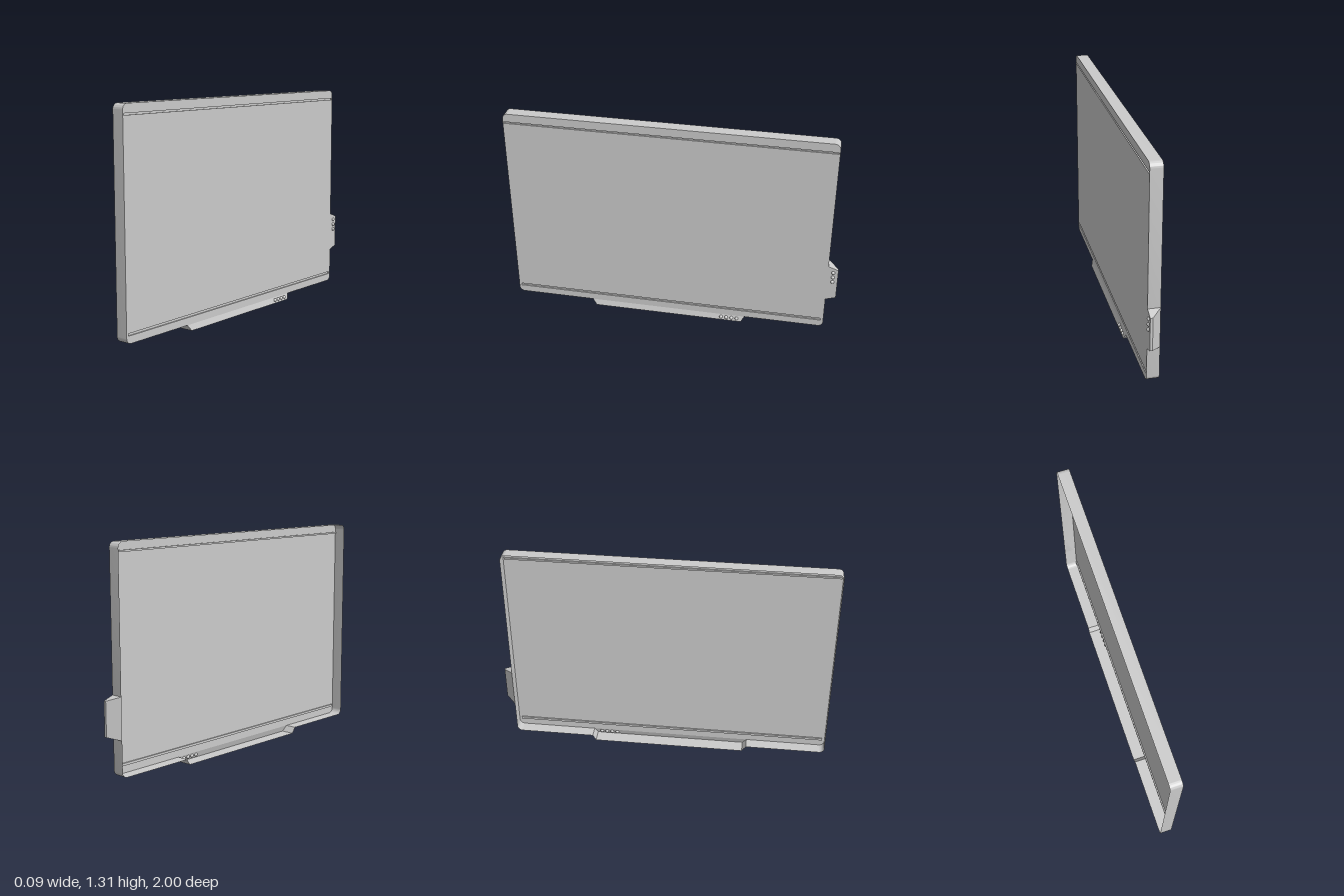
import * as THREE from 'three';
import { toCreasedNormals } from 'three/addons/utils/BufferGeometryUtils.js';
import { ConvexGeometry } from 'three/addons/geometries/ConvexGeometry.js';

const mat = new THREE.MeshStandardMaterial({ color: 0xcccccc, side: THREE.DoubleSide });

// The panel is drawn upright in x (width), y (height), z (depth), then turned to face +x.
const L = -1, R = 0.94, B = 0.035, T = 1.31, RAD = 0.032;
const FRONT = 0.027, BACK = -0.045, LIP_FRONT = 0.038;
const LIP = [[-0.515, B], [-0.49, 0], [0.435, 0], [0.455, B]];
const GROOVES = [
  { y: 1.254, h: 0.01, x0: -0.995, x1: 0.933 },
  { y: 0.086, h: 0.014, x0: -0.985, x1: 0.925 },
];
const GROOVE_DEPTH = 0.008;

function panelOutline(withLip) {
  const s = new THREE.Shape();
  s.moveTo(L + RAD, B);
  if (withLip) LIP.forEach(([x, y]) => s.lineTo(x, y));
  s.lineTo(R - RAD, B);
  s.absarc(R - RAD, B + RAD, RAD, -Math.PI / 2, 0);
  s.absarc(R - RAD, T - RAD, RAD, 0, Math.PI / 2);
  s.absarc(L + RAD, T - RAD, RAD, Math.PI / 2, Math.PI);
  s.absarc(L + RAD, B + RAD, RAD, Math.PI, Math.PI * 1.5);
  return s;
}

// Thin wall running round the outline; it reaches further forward along the lip
function wallGeometry() {
  const pts = panelOutline(true).getPoints(8);
  const pos = [], index = [];
  pts.forEach((p, i) => {
    pos.push(p.x, p.y, BACK, p.x, p.y, p.y < 0.02 ? LIP_FRONT : FRONT);
    const a = 2 * i, b = 2 * ((i + 1) % pts.length);
    index.push(a, b, b + 1, a, b + 1, a + 1);
  });
  const g = new THREE.BufferGeometry();
  g.setAttribute('position', new THREE.Float32BufferAttribute(pos, 3));
  g.setIndex(index);
  return toCreasedNormals(g, 0.5);
}

// Sloping front of the lip
function lipGeometry() {
  const g = new THREE.BufferGeometry();
  const pos = LIP.flatMap(([x, y]) => [x, y, y === 0 ? LIP_FRONT : FRONT]);
  g.setAttribute('position', new THREE.Float32BufferAttribute(pos, 3));
  g.setIndex([0, 1, 2, 0, 2, 3]);
  g.computeVertexNormals();
  return g;
}

export function createModel() {
  const model = new THREE.Group();
  const panel = new THREE.Group();
  panel.name = 'panel';
  panel.rotation.y = Math.PI / 2;
  model.add(panel);

  const add = (name, geometry, x = 0, y = 0, z = 0) => {
    const m = new THREE.Mesh(geometry, mat);
    m.name = name;
    m.position.set(x, y, z);
    panel.add(m);
    return m;
  };

  // Front sheet with slots for the two grooves
  const face = panelOutline(false);
  for (const { y, h, x0, x1 } of GROOVES) {
    const hole = new THREE.Path();
    hole.moveTo(x0, y - h / 2).lineTo(x0, y + h / 2).lineTo(x1, y + h / 2).lineTo(x1, y - h / 2);
    hole.closePath();
    face.holes.push(hole);
    // Channel behind the slot: a box without its front side
    const channel = new THREE.BoxGeometry(x1 - x0, h, GROOVE_DEPTH);
    const idx = Array.from(channel.index.array);
    idx.splice(24, 6);
    channel.setIndex(idx);
    channel.clearGroups();
    add('groove', channel, (x0 + x1) / 2, y, FRONT - GROOVE_DEPTH / 2);
  }
  add('frontSheet', new THREE.ShapeGeometry(face, 8), 0, 0, FRONT);
  add('rimWall', wallGeometry());
  add('bottomLip', lipGeometry());

  // Side tab, its back sloping out from the rim
  const tab = [];
  for (const [yIn, yOut] of [[0.245, 0.265], [0.487, 0.465]]) {
    tab.push(
      new THREE.Vector3(R, yIn, BACK), new THREE.Vector3(R, yIn, FRONT),
      new THREE.Vector3(1, yOut, 0.012), new THREE.Vector3(1, yOut, FRONT),
    );
  }
  add('sideTab', new ConvexGeometry(tab));

  // Round buttons on the tab and the lip
  const button = new THREE.SphereGeometry(0.011, 20, 14);
  for (const y of [0.38, 0.412, 0.445]) add('tabButton', button, 0.97, y, FRONT);
  for (let i = 0; i < 4; i++) add('lipButton', button, 0.31 + i * 0.0325, 0.018, 0.032);

  return model;
}
